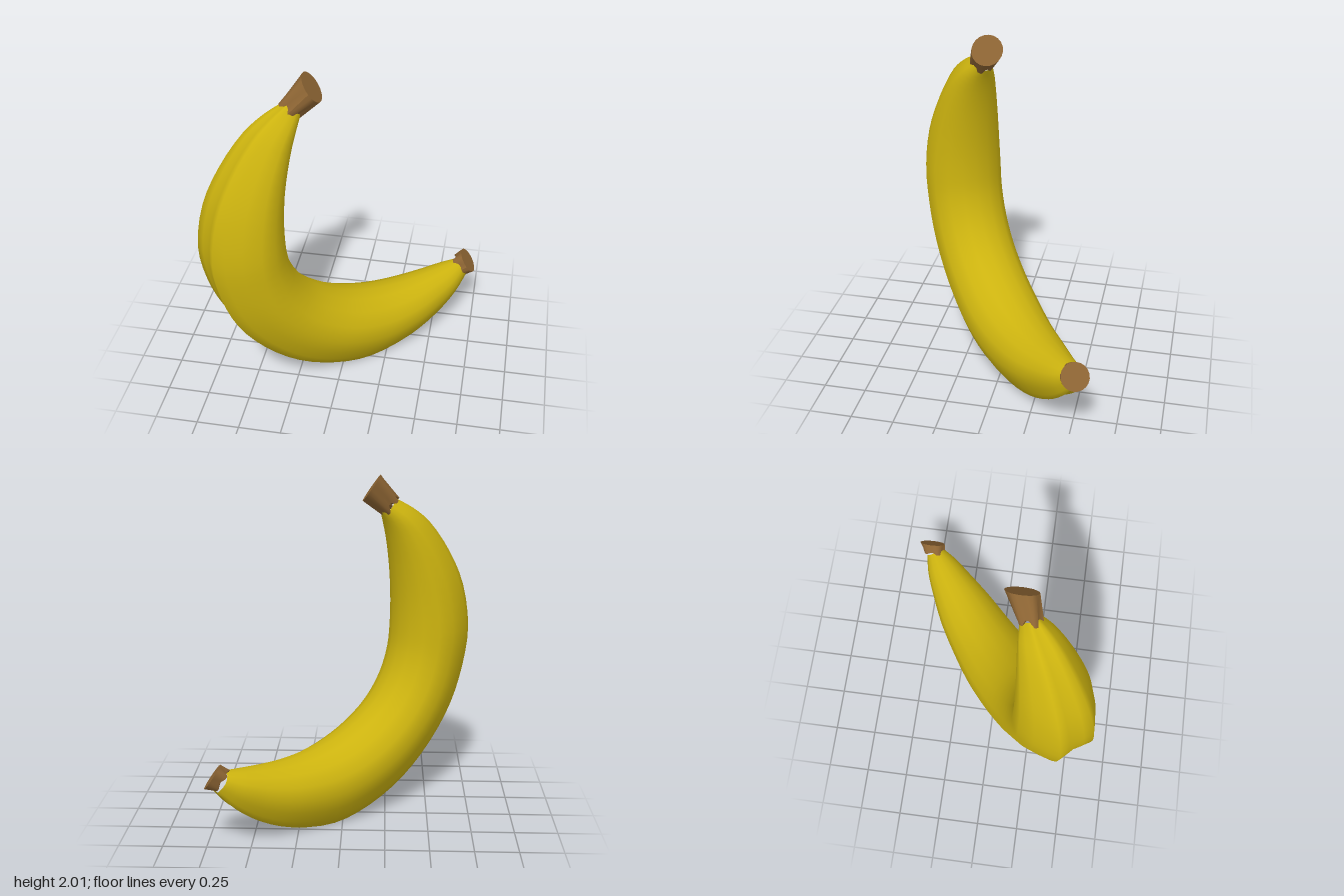
import * as THREE from 'three';

const yellow = new THREE.MeshStandardMaterial({ color: 0xccb30f });
yellow.name = 'peel yellow';
const brown = new THREE.MeshStandardMaterial({ color: 0x8c6433 });
brown.name = 'stem brown';

// Stations along the fruit: inner edge (s, y), outer edge (s, y), half width
const STATIONS = [
  [-0.275, 1.79, -0.35, 1.87, 0.05], [-0.31, 1.72, -0.46, 1.81, 0.1],
  [-0.345, 1.62, -0.575, 1.72, 0.14], [-0.38, 1.47, -0.72, 1.53, 0.185],
  [-0.405, 1.28, -0.82, 1.32, 0.22], [-0.41, 1.1, -0.865, 1.05, 0.24],
  [-0.395, 0.95, -0.83, 0.82, 0.24], [-0.34, 0.8, -0.74, 0.585, 0.24],
  [-0.24, 0.665, -0.585, 0.37, 0.24], [-0.1, 0.56, -0.37, 0.18, 0.24],
  [0.06, 0.485, -0.12, 0.055, 0.235], [0.24, 0.44, 0.13, 0.0, 0.215],
  [0.42, 0.425, 0.42, 0.045, 0.185], [0.6, 0.435, 0.62, 0.13, 0.14],
  [0.72, 0.447, 0.77, 0.24, 0.1], [0.8, 0.455, 0.865, 0.35, 0.055],
];

// Half cross-section from the round inner side to the flat, ridged outer side
const HALF = [
  [0, 0], [0.03, 0.35], [0.12, 0.68], [0.28, 0.92], [0.48, 1],
  [0.7, 0.84], [0.88, 0.62], [1, 0.45], [0.985, 0.2], [0.97, 0],
];
const RING = [...HALF, ...HALF.slice(1, -1).reverse().map(([t, w]) => [t, -w])];

// Curved body lofted through the stations
function makePeel() {
  const inner = new THREE.CatmullRomCurve3(STATIONS.map((p) => new THREE.Vector3(p[0], p[1], p[4])));
  const outer = new THREE.CatmullRomCurve3(STATIONS.map((p) => new THREE.Vector3(p[2], p[3], 0)));
  const steps = 45, n = RING.length;
  const positions = [], index = [];
  for (let i = 0; i <= steps; i++) {
    const a = inner.getPoint(i / steps), b = outer.getPoint(i / steps);
    for (const [t, w] of RING) {
      positions.push(a.x + (b.x - a.x) * t, a.y + (b.y - a.y) * t, a.z * w);
    }
  }
  for (let i = 0; i < steps; i++) {
    for (let j = 0; j < n; j++) {
      const a = i * n + j, b = i * n + ((j + 1) % n);
      index.push(a, b, a + n, b, b + n, a + n);
    }
  }
  const geometry = new THREE.BufferGeometry();
  geometry.setAttribute('position', new THREE.Float32BufferAttribute(positions, 3));
  geometry.setIndex(index);
  geometry.computeVertexNormals();
  return new THREE.Mesh(geometry, yellow);
}

// Flared brown end with a slanted face and a ragged lower edge
function makeEnd(name, base, tip, baseRadius, tipRadius) {
  const sides = 20;
  const geometry = new THREE.CylinderGeometry(tipRadius, baseRadius, 1, sides, 1);
  geometry.translate(0, -0.5, 0);
  const turn = new THREE.Quaternion().setFromUnitVectors(
    new THREE.Vector3(0, 1, 0), new THREE.Vector3(0.82, 0.57, 0).normalize());
  const axis = new THREE.Vector3().subVectors(base, tip);
  const pos = geometry.attributes.position;
  const v = new THREE.Vector3();
  for (let i = 0; i < pos.count; i++) {
    v.fromBufferAttribute(pos, i);
    let along = -v.y;
    v.y = 0;
    if (along > 0.5 && v.length() > 0.001) {
      const k = Math.round((Math.atan2(v.x, v.z) / (Math.PI * 2)) * sides + sides) % sides;
      if (k % 4 < 2) {
        along = 1.22;
        v.multiplyScalar(1.2);
      }
    }
    v.applyQuaternion(turn).add(tip).addScaledVector(axis, along);
    pos.setXYZ(i, v.x, v.y, v.z);
  }
  geometry.computeVertexNormals();
  const mesh = new THREE.Mesh(geometry, brown);
  mesh.name = name;
  return mesh;
}

export function createModel() {
  const group = new THREE.Group();
  group.name = 'banana';

  const peel = makePeel();
  peel.name = 'peel';
  peel.rotation.y = Math.atan2(0.61, 0.79);
  group.add(peel);

  group.add(makeEnd('stem',
    new THREE.Vector3(-0.255, 1.835, 0.19), new THREE.Vector3(-0.155, 1.935, 0.14), 0.058, 0.09));
  group.add(makeEnd('blossomEnd',
    new THREE.Vector3(0.655, 0.41, -0.51), new THREE.Vector3(0.7, 0.437, -0.527), 0.06, 0.08));
  return group;
}
